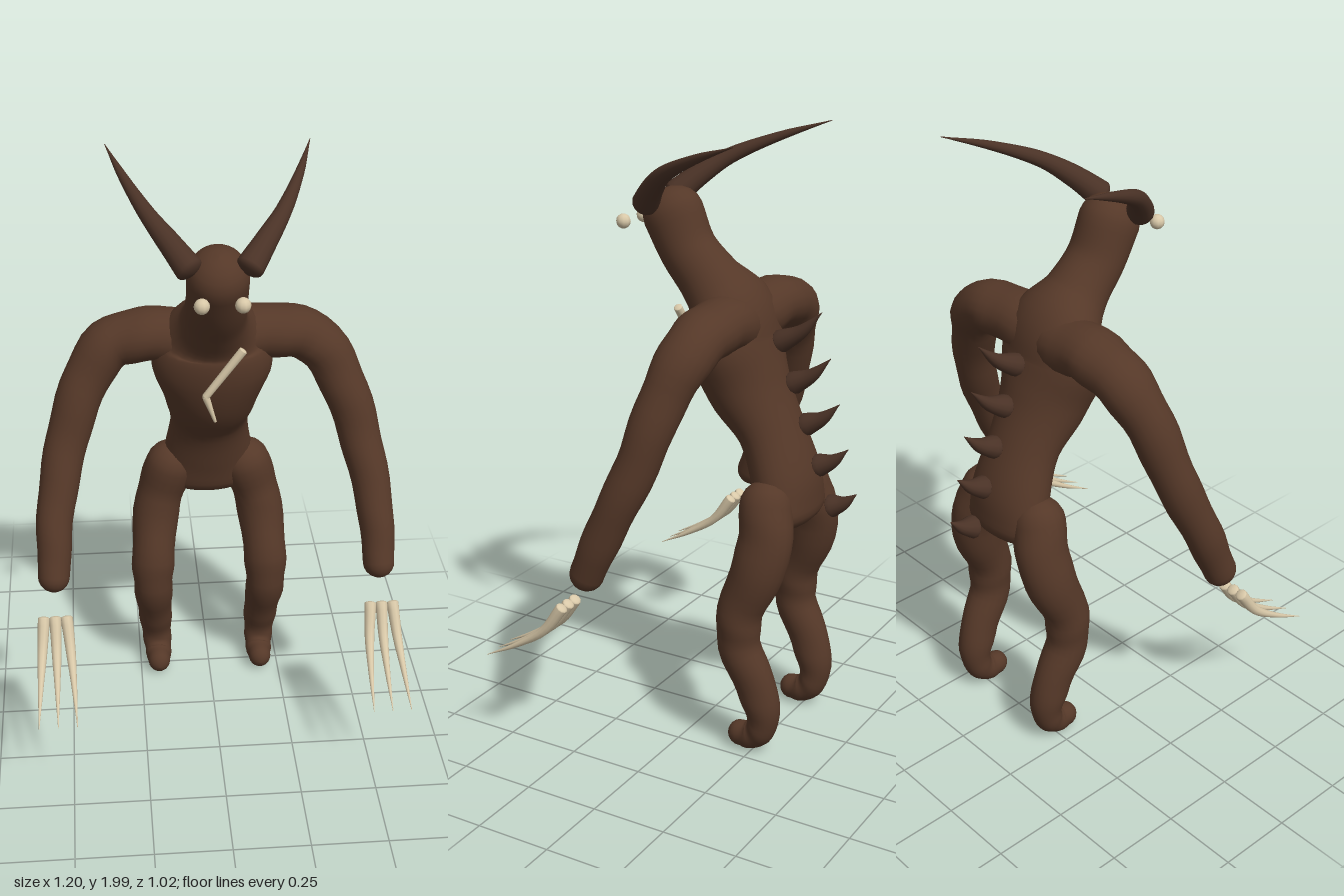
import * as THREE from 'three';

const V = (x, y, z) => new THREE.Vector3(x, y, z);

// Closed skin swept along stations [x, y, z, radiusU, radiusV]; ref sets the U direction.
// cap = [start, end] roundness of the ends, ripple = strength of the muscle bulges.
function loft(stations, { ref = V(1, 0, 0), sides = 20, steps = 5, cap = [1, 1], ripple = 0 } = {}) {
  const path = new THREE.CatmullRomCurve3(stations.map(s => V(s[0], s[1], s[2])));
  const size = new THREE.CatmullRomCurve3(stations.map(s => V(s[3], s[4], 0)), false, 'catmullrom', 0.4);
  const n = (stations.length - 1) * steps;
  const pos = [], index = [];
  const ring = (t, push, shrink) => {
    const c = path.getPoint(t), r = size.getPoint(t), d = path.getTangent(t);
    const u = ref.clone().addScaledVector(d, -ref.dot(d)).normalize();
    const v = d.clone().cross(u);
    c.addScaledVector(d, push * Math.min(r.x, r.y));
    for (let j = 0; j < sides; j++) {
      const a = (j / sides) * Math.PI * 2;
      const k = shrink * (1 + ripple * Math.sin(t * n * 1.25 + 1.5 * Math.sin(a)));
      const p = c.clone().addScaledVector(u, Math.cos(a) * r.x * k).addScaledVector(v, Math.sin(a) * r.y * k);
      pos.push(p.x, p.y, p.z);
    }
  };
  const q = Math.PI / 2;
  for (let i = 0; i < 5; i++) ring(0, -cap[0] * Math.cos(i / 5 * q), Math.sin(i / 5 * q));
  for (let i = 0; i <= n; i++) ring(i / n, 0, 1);
  for (let i = 1; i <= 5; i++) ring(1, cap[1] * Math.sin(i / 5 * q), Math.cos(i / 5 * q));
  const rings = pos.length / 3 / sides;
  for (let i = 0; i < rings - 1; i++) {
    for (let j = 0; j < sides; j++) {
      const k = (j + 1) % sides, a = i * sides, b = a + sides;
      index.push(a + j, a + k, b + j, a + k, b + k, b + j);
    }
  }
  const g = new THREE.BufferGeometry();
  g.setAttribute('position', new THREE.Float32BufferAttribute(pos, 3));
  g.setIndex(index);
  g.computeVertexNormals();
  return g;
}

export function createModel() {
  const group = new THREE.Group();
  const material = (name, color) => Object.assign(new THREE.MeshStandardMaterial({ color }), { name });
  const hide = material('brown hide', 0x553828);
  const horn = material('dark horn', 0x4a3226);
  const bone = material('pale bone', 0xd8c8a8);
  const add = (name, geometry, mat) => {
    const mesh = new THREE.Mesh(geometry, mat);
    mesh.name = name;
    group.add(mesh);
    return mesh;
  };
  const mirror = (stations, s) => stations.map(([x, ...rest]) => [x * s, ...rest]);

  // Hunched torso running up into neck and head
  add('torsoAndHead', loft([
    [0, 0.81, -0.28, 0.17, 0.09],
    [0, 0.91, -0.262, 0.15, 0.1],
    [0, 1.06, -0.205, 0.13, 0.1],
    [0, 1.2, -0.12, 0.155, 0.13],
    [0, 1.33, -0.075, 0.195, 0.135],
    [0, 1.43, -0.06, 0.17, 0.125],
    [0, 1.52, 0.02, 0.105, 0.1],
    [0, 1.61, 0.1, 0.095, 0.092],
    [0, 1.72, 0.155, 0.095, 0.1],
  ], { sides: 28, cap: [0.7, 0.9] }), hide);

  for (const s of [1, -1]) {
    const side = s > 0 ? 'left' : 'right';

    // Arms hanging forward
    add(side + 'Arm', loft(mirror([
      [0.05, 1.405, -0.09, 0.1, 0.095],
      [0.2, 1.42, -0.1, 0.1, 0.085],
      [0.33, 1.385, -0.1, 0.09, 0.083],
      [0.42, 1.25, -0.06, 0.075, 0.075],
      [0.485, 1.05, -0.005, 0.068, 0.068],
      [0.525, 0.85, 0.08, 0.063, 0.06],
      [0.535, 0.68, 0.155, 0.056, 0.052],
    ], s), { ref: V(0, 0, 1), ripple: 0.03 }), hide);

    // Bent legs with short stub feet
    add(side + 'Leg', loft(mirror([
      [0.13, 0.85, -0.26, 0.085, 0.085],
      [0.175, 0.7, -0.272, 0.08, 0.09],
      [0.198, 0.5, -0.205, 0.075, 0.075],
      [0.2, 0.38, -0.205, 0.068, 0.07],
      [0.193, 0.22, -0.272, 0.06, 0.066],
      [0.188, 0.11, -0.285, 0.052, 0.05],
      [0.185, 0.062, -0.25, 0.047, 0.048],
      [0.185, 0.052, -0.2, 0.04, 0.043],
    ], s), { ripple: 0.03 }), hide);

    // Horns sweeping up, out and back
    add(side + 'Horn', loft(mirror([
      [0.09, 1.765, 0.2, 0.044, 0.044],
      [0.14, 1.82, 0.145, 0.036, 0.036],
      [0.2, 1.88, 0.065, 0.026, 0.026],
      [0.265, 1.945, -0.08, 0.015, 0.015],
      [0.318, 2, -0.24, 0.001, 0.001],
    ], s), { sides: 14, cap: [0.5, 0] }), horn);

    // Eyes floating ahead of the face
    add(side + 'Eye', new THREE.SphereGeometry(0.024, 10, 8), bone).position.set(s * 0.06, 1.69, 0.305);

    // Three claws below each hand
    for (const i of [-1, 0, 1]) {
      add(side + 'Claw', loft(mirror([
        [0.537 + i * 0.037, 0.563, 0.226, 0.02, 0.02],
        [0.537 + i * 0.046, 0.475, 0.29, 0.016, 0.016],
        [0.537 + i * 0.054, 0.405, 0.39, 0.009, 0.009],
        [0.537 + i * 0.061, 0.34, 0.512, 0.001, 0.001],
      ], s), { sides: 10, cap: [0.4, 0] }), bone);
    }
  }

  // Row of upturned spikes down the spine
  for (let i = 0; i < 5; i++) {
    const f = i / 4, mix = (a, b) => a + (b - a) * f;
    add('spineSpike', loft([
      [0, mix(1.355, 0.84), mix(-0.235, -0.425), 0.042, 0.037],
      [0, mix(1.395, 0.857), mix(-0.305, -0.465), 0.024, 0.022],
      [0, mix(1.465, 0.895), mix(-0.375, -0.51), 0.001, 0.001],
    ], { sides: 12, cap: [0.25, 0] }), horn);
  }

  // Crooked bone shard on the chest
  add('chestShardUpper', loft([
    [0.083, 1.44, 0.09, 0.014, 0.014],
    [-0.033, 1.285, 0.09, 0.012, 0.012],
  ], { ref: V(0, 0, 1), sides: 10, cap: [0.3, 0.6] }), bone);
  add('chestShardLower', loft([
    [-0.033, 1.285, 0.09, 0.012, 0.012],
    [-0.003, 1.195, 0.09, 0.005, 0.005],
  ], { ref: V(0, 0, 1), sides: 10, cap: [0.6, 0.3] }), bone);

  return group;
}
